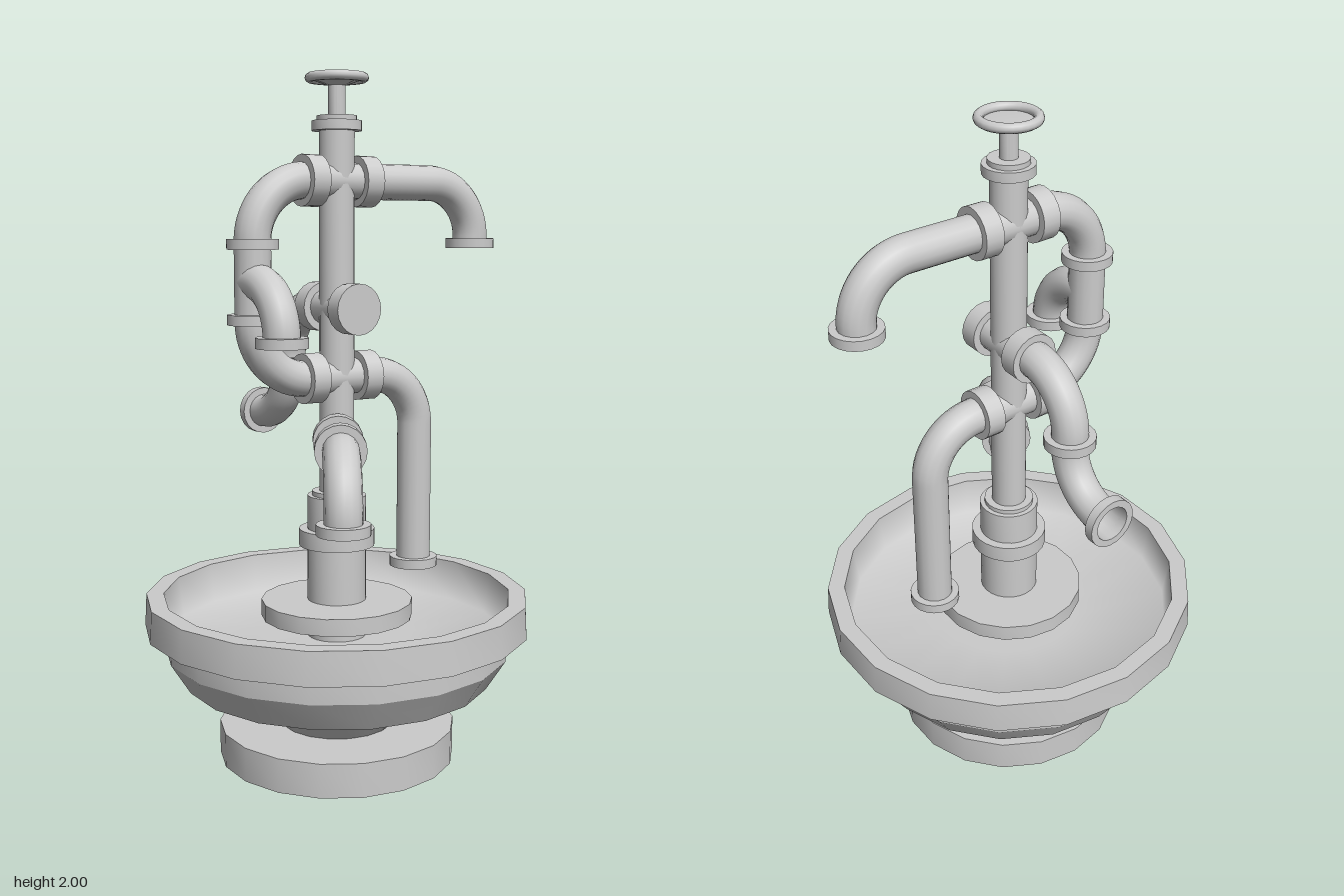
import * as THREE from 'three';
import { toCreasedNormals } from 'three/addons/utils/BufferGeometryUtils.js';

const material = new THREE.MeshStandardMaterial({ color: 0xcccccc });
const openMaterial = new THREE.MeshStandardMaterial({ color: 0xcccccc, side: THREE.DoubleSide });
const PIPE = 0.052, COLLAR = 0.073, DEG = Math.PI / 180;
const LOOP_ANGLE = 210, LOOP_REACH = 0.275;

function add(parent, name, geometry, mat = material) {
  const mesh = new THREE.Mesh(geometry, mat);
  mesh.name = name;
  parent.add(mesh);
  return mesh;
}

// Turned part from [radius, height] pairs, listed bottom to top on the outside
function turned(parent, name, profile, sides, crease = 0.5) {
  const points = profile.map(([r, y]) => new THREE.Vector2(r, y));
  const lathe = new THREE.LatheGeometry(points, sides, Math.PI / 2);
  return add(parent, name, crease ? toCreasedNormals(lathe, crease) : lathe);
}

// Collar around a pipe; x is the distance from the branch's origin
function collar(parent, x, y, horizontal, length = horizontal ? 0.055 : 0.029) {
  const mesh = add(parent, 'collar', new THREE.CylinderGeometry(COLLAR, COLLAR, length, 20));
  mesh.position.set(x, y, 0);
  if (horizontal) mesh.rotation.z = Math.PI / 2;
  return mesh;
}

// Pipe in the branch's x-y plane; every inner corner becomes a round elbow
function pipe(parent, name, corners, radius, segments = 40) {
  const pts = corners.map(([x, y]) => new THREE.Vector3(x, y, 0));
  const path = new THREE.CurvePath();
  let from = pts[0];
  for (let i = 1; i < pts.length - 1; i++) {
    const p = pts[i];
    const toward = (q, d) => p.clone().add(q.clone().sub(p).setLength(d));
    const start = toward(pts[i - 1], radius), end = toward(pts[i + 1], radius);
    if (from.distanceTo(start) > 1e-3) path.add(new THREE.LineCurve3(from, start));
    path.add(new THREE.CubicBezierCurve3(start, toward(pts[i - 1], radius * 0.448),
      toward(pts[i + 1], radius * 0.448), end));
    from = end;
  }
  const last = pts[pts.length - 1];
  if (from.distanceTo(last) > 1e-3) path.add(new THREE.LineCurve3(from, last));
  return add(parent, name, new THREE.TubeGeometry(path, segments, PIPE, 16), openMaterial);
}

// Group that points a branch outward at an angle around the column
function branch(parent, name, degrees) {
  const group = new THREE.Group();
  group.name = name;
  group.rotation.y = degrees * DEG;
  parent.add(group);
  return group;
}

export function createModel() {
  const model = new THREE.Group();
  model.name = 'pipeFountain';

  // Foot, bowl and the plinth inside it
  turned(model, 'foot', [[0, 0], [0.352, 0], [0.352, 0.1], [0, 0.1]], 18);
  turned(model, 'bowl', [
    [0.17, 0.1], [0.25, 0.2], [0.455, 0.24], [0.512, 0.33], [0.512, 0.4], [0.571, 0.4],
    [0.566, 0.495], [0.515, 0.495],
  ], 18);
  turned(model, 'bowlInside', [[0.515, 0.495], [0.5, 0.375], [0.22, 0.365], [0, 0.365]], 18, 0);
  turned(model, 'plinth', [[0, 0.425], [0.225, 0.425], [0.225, 0.475], [0, 0.475]], 18);

  // Upright column with its sleeve and top cap
  turned(model, 'columnSleeve', [
    [0.087, 0.36], [0.087, 0.64], [0.112, 0.64], [0.112, 0.69], [0.087, 0.69],
    [0.087, 0.79], [0.073, 0.79], [0.073, 0.803], [0, 0.803],
  ], 24);
  turned(model, 'column', [
    [0.051, 0.8], [0.051, 1.84], [0.072, 1.84], [0.072, 1.868], [0.057, 1.868],
    [0.057, 1.882], [0, 1.882],
  ], 20);

  // Valve handle
  turned(model, 'valveStem', [[0.025, 1.88], [0.025, 1.965], [0.068, 1.98], [0, 1.984]], 20);
  const wheel = add(model, 'handWheel', new THREE.TorusGeometry(0.0775, 0.0135, 10, 28));
  wheel.rotation.x = Math.PI / 2;
  wheel.position.y = 1.9865;

  // High spout
  const high = branch(model, 'highSpout', 28);
  pipe(high, 'highSpoutPipe', [[0, 1.7], [0.468, 1.7], [0.468, 1.515]], 0.155);
  collar(high, 0.09, 1.7, true);
  collar(high, 0.468, 1.523, false);

  // Low spout
  const low = branch(model, 'lowSpout', 29);
  pipe(low, 'lowSpoutPipe', [[0, 1.14], [0.275, 1.14], [0.275, 0.548]], 0.155);
  collar(low, 0.09, 1.14, true);
  collar(low, 0.275, 0.556, false);

  // Loop joining the upper and lower crossings
  const loop = branch(model, 'loop', LOOP_ANGLE);
  pipe(loop, 'loopPipe', [[0, 1.7], [LOOP_REACH, 1.7], [LOOP_REACH, 1.14], [0, 1.14]], 0.17, 64);
  for (const y of [1.7, 1.14]) collar(loop, 0.09, y, true);
  for (const y of [1.523, 1.315]) collar(loop, LOOP_REACH, y, false);

  // Side spout growing out of the loop
  const side = branch(model, 'sideSpout', -60);
  side.position.set(
    LOOP_REACH * Math.cos(LOOP_ANGLE * DEG), 0, -LOOP_REACH * Math.sin(LOOP_ANGLE * DEG));
  pipe(side, 'sideSpoutPipe', [[0, 1.42], [0.16, 1.42], [0.16, 1.252]], 0.15);
  collar(side, 0.16, 1.262, false);

  // Rear spout with a double bend and an open mouth
  const rear = branch(model, 'rearSpout', 120);
  pipe(rear, 'rearSpoutPipe', [[0, 1.34], [0.277, 1.34], [0.277, 0.99], [0.465, 0.99]], 0.16, 64);
  collar(rear, 0.09, 1.34, true);
  collar(rear, 0.277, 1.163, false);
  const mouth = turned(rear, 'rearSpoutMouth', [
    [PIPE, -0.014], [COLLAR, -0.014], [COLLAR, 0.014], [PIPE, 0.014], [PIPE, -0.014],
  ], 20);
  mouth.rotation.z = -Math.PI / 2;
  mouth.position.set(0.452, 0.99, 0);

  // Plugged outlet opposite the rear spout
  const plug = branch(model, 'pluggedOutlet', -60);
  pipe(plug, 'plugPipe', [[0, 1.34], [0.1, 1.34]], 0, 4);
  collar(plug, 0.093, 1.34, true);

  // Front spout
  const front = branch(model, 'frontSpout', -90);
  pipe(front, 'frontSpoutPipe', [[0, 0.967], [0.448, 0.967], [0.448, 0.778]], 0.16);
  for (const x of [0.09, 0.265]) collar(front, x, 0.967, true, x < 0.2 ? 0.055 : 0.045);
  collar(front, 0.448, 0.788, false);

  return model;
}
